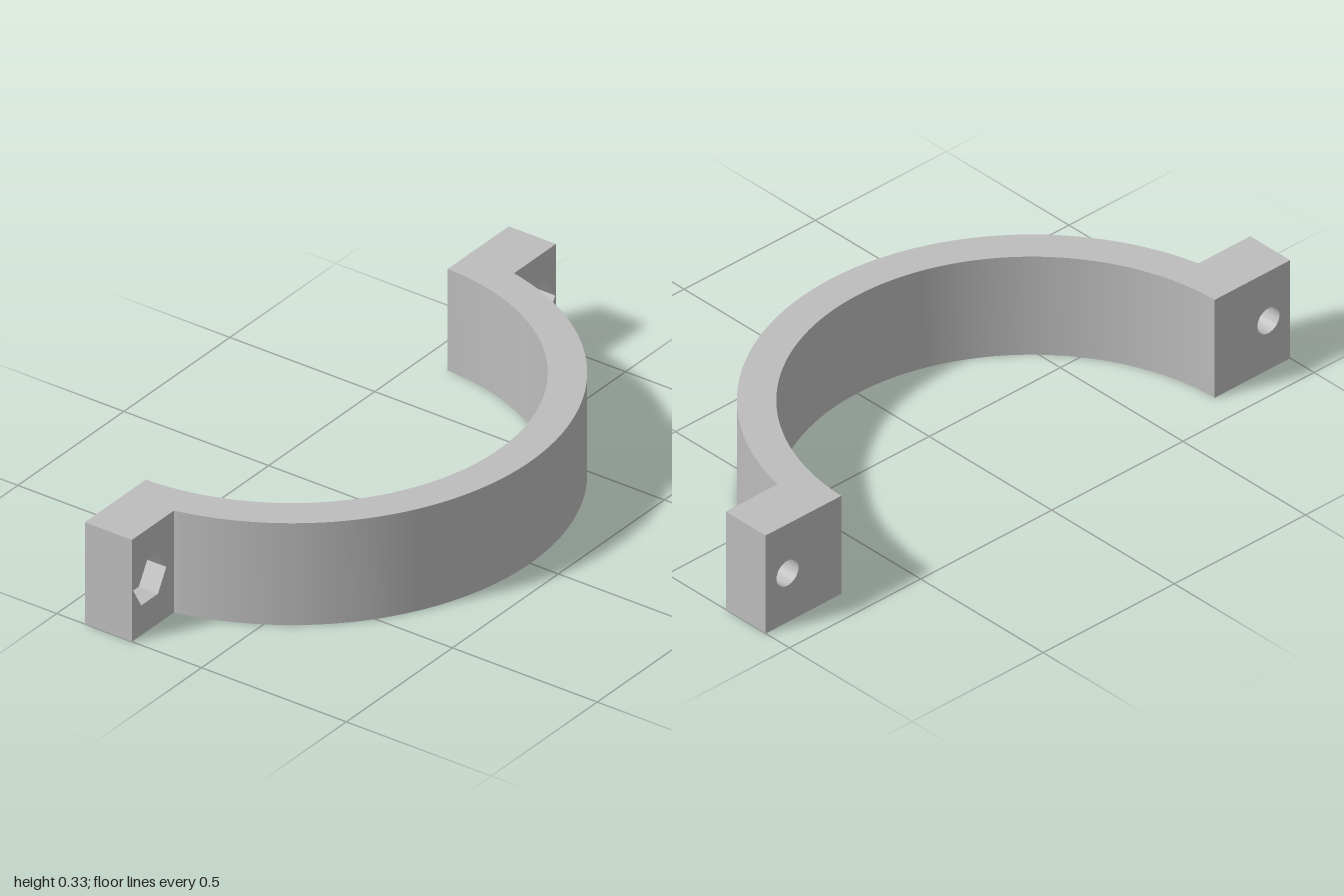
import * as THREE from 'three';
import { toCreasedNormals } from 'three/addons/utils/BufferGeometryUtils.js';

const HEIGHT = 0.33;
const BACK = -0.403, EAR_FRONT = -0.24;   // z range of the bolt ears
const CENTRE_Z = -0.419, R_IN = 0.712, R_OUT = 0.822;
const EAR_X = Math.sqrt(R_OUT ** 2 - (EAR_FRONT - CENTRE_Z) ** 2);
const BOLT_X = 0.917, BOLT_R = 0.042, NUT_R = 0.079, NUT_DEPTH = 0.066;

const extrude = (shape, depth) => toCreasedNormals(
  new THREE.ExtrudeGeometry(shape, { depth, bevelEnabled: false, curveSegments: 80 }), 0.4);

// Regular polygon hole with its first corner on +x
function polygonHole(x, y, r, sides) {
  const pts = Array.from({ length: sides }, (_, i) => {
    const a = (i / sides) * Math.PI * 2;
    return new THREE.Vector2(x + r * Math.cos(a), y + r * Math.sin(a));
  });
  return new THREE.Path(pts);
}

// Slab of an ear, drawn in x/y and extruded along z
function earSlab(name, hole, z, depth, material) {
  const s = new THREE.Shape();
  s.moveTo(EAR_X, 0).lineTo(1, 0).lineTo(1, HEIGHT).lineTo(EAR_X, HEIGHT).closePath();
  s.holes.push(hole);
  const mesh = new THREE.Mesh(extrude(s, depth), material);
  mesh.name = name;
  mesh.position.z = z;
  return mesh;
}

export function createModel() {
  const group = new THREE.Group();
  group.name = 'halfClamp';
  const grey = new THREE.MeshStandardMaterial({ color: 0xbdbdbd });
  grey.name = 'grey';

  // Curved band, including the solid corners where it meets the ears
  const outerA = Math.asin((EAR_FRONT - CENTRE_Z) / R_OUT);
  const innerA = Math.asin((BACK - CENTRE_Z) / R_IN);
  const innerX = R_IN * Math.cos(innerA);
  const profile = new THREE.Shape();
  profile.moveTo(innerX, BACK);
  profile.lineTo(EAR_X, BACK);
  profile.lineTo(EAR_X, EAR_FRONT);
  profile.absarc(0, CENTRE_Z, R_OUT, outerA, Math.PI - outerA, false);
  profile.lineTo(-EAR_X, BACK);
  profile.lineTo(-innerX, BACK);
  profile.absarc(0, CENTRE_Z, R_IN, Math.PI - innerA, innerA, true);
  const band = new THREE.Mesh(extrude(profile, HEIGHT).rotateX(Math.PI / 2), grey);
  band.name = 'band';
  band.position.y = HEIGHT;
  group.add(band);

  // Bolt ears: round bore at the back, hexagonal nut pocket at the front
  for (const side of ['left', 'right']) {
    const ear = new THREE.Group();
    ear.name = side + 'Ear';
    const pocketZ = EAR_FRONT - NUT_DEPTH;
    ear.add(
      earSlab('boltBore', polygonHole(BOLT_X, HEIGHT / 2, BOLT_R, 32), BACK, pocketZ - BACK, grey),
      earSlab('nutPocket', polygonHole(BOLT_X, HEIGHT / 2, NUT_R, 6), pocketZ, NUT_DEPTH, grey));
    if (side === 'right') ear.scale.x = -1;
    group.add(ear);
  }
  return group;
}
